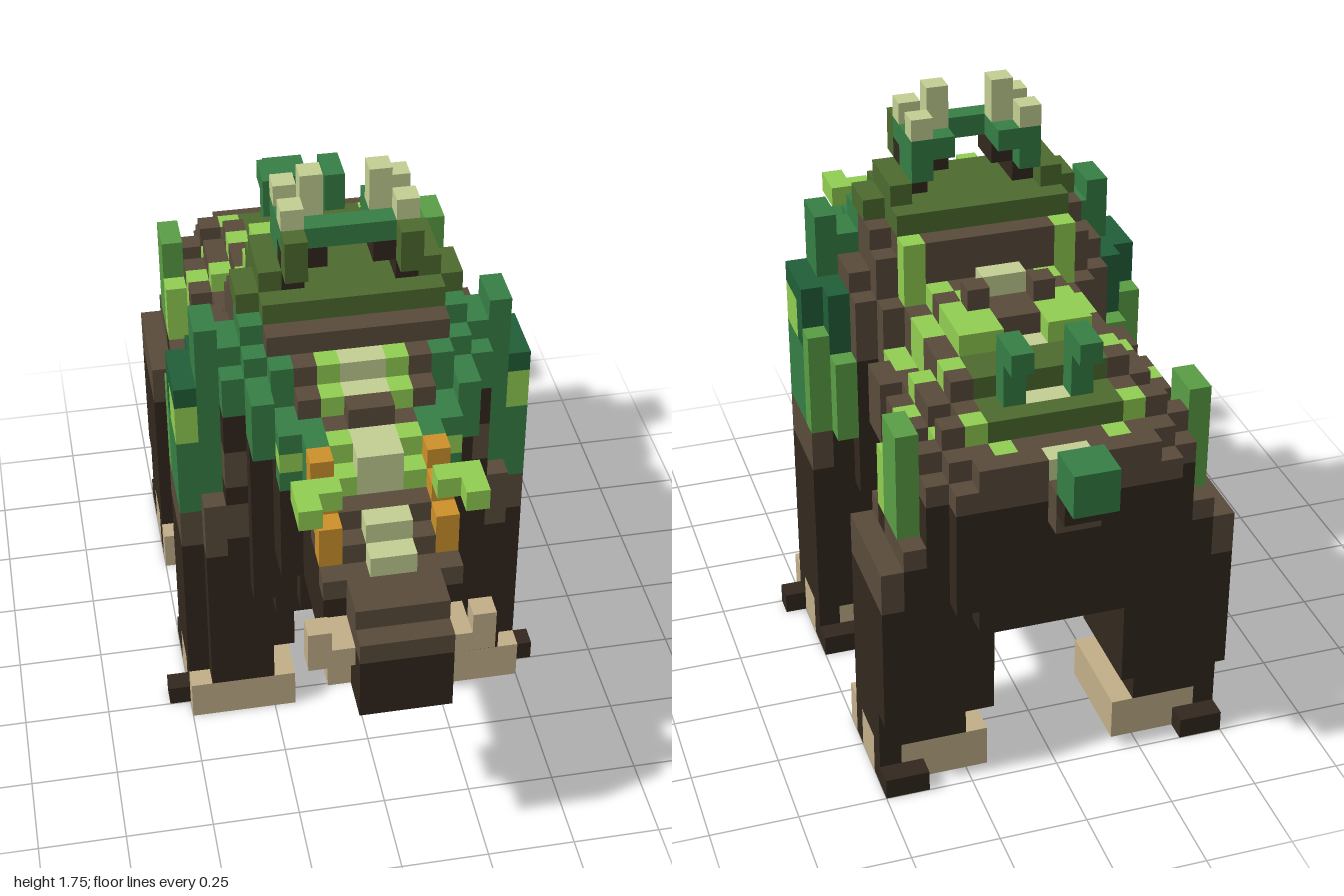
import * as THREE from 'three';

const U = 1 / 16; // one cube
const COLORS = {
  darkHide: 0x33281e, brownHide: 0x5a4c3c, tan: 0xc4b18b, sage: 0xc5d294, lime: 0x93d052,
  leaf: 0x5aa046, olive: 0x4e6c30, green: 0x378046, deepGreen: 0x216039, amber: 0xd0932c,
};

// Side profiles of the body as (z, value) points, front to back
const line = (...p) => p.map(([x, y]) => new THREE.Vector2(x, y));
const BACK = line([13, 14.9], [5, 21.5], [3.5, 23], [-1, 23], [-2, 20.5], [-8, 19], [-13, 16.5]);
const HIDE = line([13, 14], [4, 18], [0, 17], [-2, 14], [-8, 14], [-13, 15]);
const WIDTH = line([13, 3], [9, 3], [6, 4.4], [4, 6], [0, 6], [-1, 5], [-11, 6], [-13, 4]);

function sample(points, z) {
  const i = Math.max(1, points.findIndex((p) => p.x <= z));
  const a = points[i - 1], b = points[i];
  return Math.round(THREE.MathUtils.mapLinear(z, a.x, b.x, a.y, b.y));
}

// Colour of the mossy upper body; m counts cubes out from the middle
function mossColor(m, z, isTop) {
  const stripe = (z + 30) % 3, chevron = (z - m + 30) % 3;
  if (z === 4) return m > 3 ? 'green' : 'brownHide';
  if (z > 4) {
    if (m === 0) return stripe === 1 ? 'brownHide' : 'sage';
    if (m > (z < 7 ? 2 : 1) && z < 9) return 'green';
    return m === 1 && stripe !== 1 && z < 11 ? 'lime' : 'brownHide';
  }
  if (z > -2) return isTop ? 'olive' : m > 3 && z > 1 ? 'green' : 'brownHide';
  if (m === 0 && stripe === 2) return 'sage';
  if (z < -7 && z > -12 && m < 3) return 'olive';
  if (z < -12 || m === 0 || m > 4) return 'brownHide';
  return chevron === 1 || z - m === -7 ? 'lime' : 'brownHide';
}

export function createModel() {
  const cells = new Map();
  const key = (x, y, z) => `${x},${y},${z}`;
  const put = (part, color, x, y, z) => cells.set(key(x, y, z), { x, y, z, part, color });

  // Block of cubes from corner [x, y, z] with a size, mirrored to the other side
  const both = (part, color, [x, y, z], [w, h = w, d = w]) => {
    for (let i = x; i < x + w; i++) for (let j = y; j < y + h; j++) for (let k = z; k < z + d; k++) {
      put(part, color, i, j, k);
      put(part, color, -i - 1, j, k);
    }
  };

  // Body: one slice per step of z, narrowing towards the back ridge and the belly
  for (let z = -13; z < 13; z++) {
    const top = sample(BACK, z + 0.5), hide = sample(HIDE, z + 0.5), width = sample(WIDTH, z + 0.5);
    const under = z > 5 ? 11 : z < -12 ? 9 : z < -7 ? 8 : 7;
    for (let y = under; y < top; y++) {
      const t = Math.max(0, (y - hide) / (top - hide));
      const half = Math.min(Math.round(width * (1 - t * t / 2)), 4 + y - under);
      for (let m = 0; m < half; m++)
        both('body', y < hide ? 'darkHide' : mossColor(m, z, y === top - 1), [m, y, z], [1]);
    }
  }
  both('belly', 'darkHide', [0, 6, -6], [2, 1, 3]);
  both('chest', 'darkHide', [0, 6, 4], [2, 2, 2]);
  both('throat', 'darkHide', [0, 8, 6], [3, 3, 1]);
  both('flank', 'brownHide', [4, 13, -5], [1, 1, 2]);
  both('rib', 'brownHide', [5, 14, -5], [1, 3, 2]);
  both('shoulder', 'brownHide', [5, 14, 4], [1, 2, 1]);

  // Raised plates and leaves along the back
  for (const [y, z] of [[15, 12], [16, 11], [18, 9], [20, -4]]) both('spinePlate', 'sage', [0, y, z], [1]);
  both('spineRidge', 'brownHide', [0, 19, 7], [1]);
  both('spineRidge', 'brownHide', [1, 20, -5], [1]);
  both('backLeaf', 'lime', [1, 19, -7], [2, 1, 2]);
  both('backLeaf', 'lime', [3, 20, -2], [1, 2, 1]);
  both('neckLeaf', 'green', [4, 17, 5], [1, 3, 2]);
  both('neckLeaf', 'green', [3, 16, 7], [1, 3, 1]);
  both('neckLeaf', 'green', [2, 16, 8], [1, 3, 1]);
  both('neckLeaf', 'lime', [3, 17, 7], [1]);

  // Head, tusks, amber brows and leafy ears
  both('snout', 'darkHide', [0, 10, 12], [2, 3, 4]);
  both('snout', 'brownHide', [0, 13, 13], [2, 1, 3]);
  both('snout', 'brownHide', [0, 14, 12], [2, 1, 3]);
  both('tusk', 'tan', [3, 12, 14], [1, 2, 1]);
  both('tusk', 'tan', [2, 12, 13], [1, 1, 2]);
  both('tusk', 'tan', [1, 10, 12], [2]);
  for (let i = 0; i < 3; i++) both('brow', 'amber', [2, 15 + i, 11 - i], [1, 2, 1]);
  both('ear', 'lime', [3, 18, 11], [1, 1, 2]);
  both('ear', 'lime', [2, 18, 11], [1]);

  // Legs and feet; the hind thigh reaches one cube further back
  for (const [name, z, thigh] of [['frontLeg', 0, 0], ['hindLeg', -11, 1]]) {
    const outer = 4 + thigh; // the front leg has a notched outer corner
    both(name, 'darkHide', [4, 2, z], [3, 2, 5 - thigh]);
    both(name, 'darkHide', [3, 4, z - thigh], [4, 9, 5]);
    both(name, 'darkHide', [7, 2, z], [1, 2, 4]);
    both(name, 'darkHide', [7, 4, z - thigh], [1, 6, outer]);
    both(name, 'brownHide', [7, 10, z - thigh], [1, 2, outer]);
    both(name, 'brownHide', [5, 11, z + 4 - thigh], [2, 2, 1]);
    both(name, 'brownHide', [6, 10, z + 4 - thigh], [1]);
    both(name, 'brownHide', [6, 12, z - thigh], [1, 1, 3]);
    both(name + 'Foot', 'tan', [3, 0, z], [5, 2, 5]);
    both(name + 'Foot', 'darkHide', [7, 0, z + 3], [1, 2, 1]);
    both(name + 'Foot', 'darkHide', [7, 0, z], [1, 2, 1]);
    both(name + 'Spur', 'darkHide', [6, 0, z - 1], [2, 1, 1]);
  }
  both('frontLegSpur', 'darkHide', [8, 0, 3], [1]);

  // Vines hanging over the shoulders
  both('shoulderVine', 'green', [6, 13, 2], [1, 9, 2]);
  both('shoulderVine', 'deepGreen', [6, 13, 0], [1, 6, 2]);
  both('shoulderVine', 'deepGreen', [7, 14, 1], [1, 5, 3]);
  both('shoulderVine', 'green', [7, 12, 1], [1, 4, 3]);
  both('shoulderVine', 'lime', [7, 16, 2], [1, 2, 2]);
  both('shoulderVine', 'leaf', [7, 12, 0], [1, 5, 1]);
  both('shoulderVine', 'leaf', [6, 12, -1], [1, 4, 1]);

  // Plants on the hips and sprouts on the rump
  both('hipPlant', 'leaf', [6, 13, -11], [1, 5, 2]);
  both('hipPlant', 'lime', [6, 13, -9], [1, 3, 1]);
  both('hipPlant', 'lime', [5, 15, -8], [1, 2, 1]);
  both('hipSprout', 'green', [1, 17, -10], [1, 4, 1]);
  both('hipSprout', 'green', [1, 20, -11], [1]);

  // Branching antlers joined by a leafy bar
  both('antler', 'olive', [3, 22, 0], [1, 1, 4]);
  both('antler', 'olive', [4, 22, 1], [1, 1, 2]);
  both('antler', 'olive', [3, 23, 0], [1, 1, 3]);
  both('antler', 'darkHide', [2, 23, 1], [1, 2, 2]);
  both('antler', 'darkHide', [1, 24, 1], [1, 1, 2]);
  both('antler', 'olive', [2, 24, 3], [1, 2, 1]);
  both('antlerBar', 'green', [0, 25, 2], [3, 1, 1]);
  both('antlerLeaf', 'green', [1, 25, 0], [2, 1, 2]);
  both('antlerLeaf', 'green', [2, 24, 0], [1, 1, 2]);
  for (const z of [0, 2]) both('antlerTip', 'sage', [2, 26, z], [1]);
  both('antlerTip', 'sage', [1, 26, 1], [1, 2, 1]);

  // Tail with a green tuft
  both('tail', 'brownHide', [0, 14, -14], [1, 2, 1]);
  both('tail', 'darkHide', [0, 15, -15], [1]);
  both('tailTuft', 'green', [0, 16, -16], [1, 2, 2]);

  // Skin the cubes: only exposed faces, one mesh per part and colour
  const materials = {};
  for (const [name, color] of Object.entries(COLORS)) {
    materials[name] = new THREE.MeshStandardMaterial({ color });
    materials[name].name = name;
  }
  const skins = new Map();
  const loop = [[0, 0], [1, 0], [1, 1], [0, 0], [1, 1], [0, 1]];
  for (const { x, y, z, part, color } of cells.values()) {
    const id = part + color;
    if (!skins.has(id)) skins.set(id, { part, color, pos: [] });
    const { pos } = skins.get(id);
    for (let a = 0; a < 3; a++) for (const s of [1, -1]) {
      const next = [x, y, z];
      next[a] += s;
      if (cells.has(key(...next))) continue;
      for (const [u, v] of loop) {
        const p = [x, y, z];
        if (s > 0) p[a] += 1;
        p[(a + 1) % 3] += s > 0 ? u : v;
        p[(a + 2) % 3] += s > 0 ? v : u;
        pos.push(...p.map((c) => c * U));
      }
    }
  }
  const model = new THREE.Group();
  model.name = 'mossyBeast';
  for (const { part, color, pos } of skins.values()) {
    if (!pos.length) continue;
    const geo = new THREE.BufferGeometry();
    geo.setAttribute('position', new THREE.Float32BufferAttribute(pos, 3));
    geo.computeVertexNormals();
    const mesh = new THREE.Mesh(geo, materials[color]);
    mesh.name = part;
    model.add(mesh);
  }
  return model;
}
